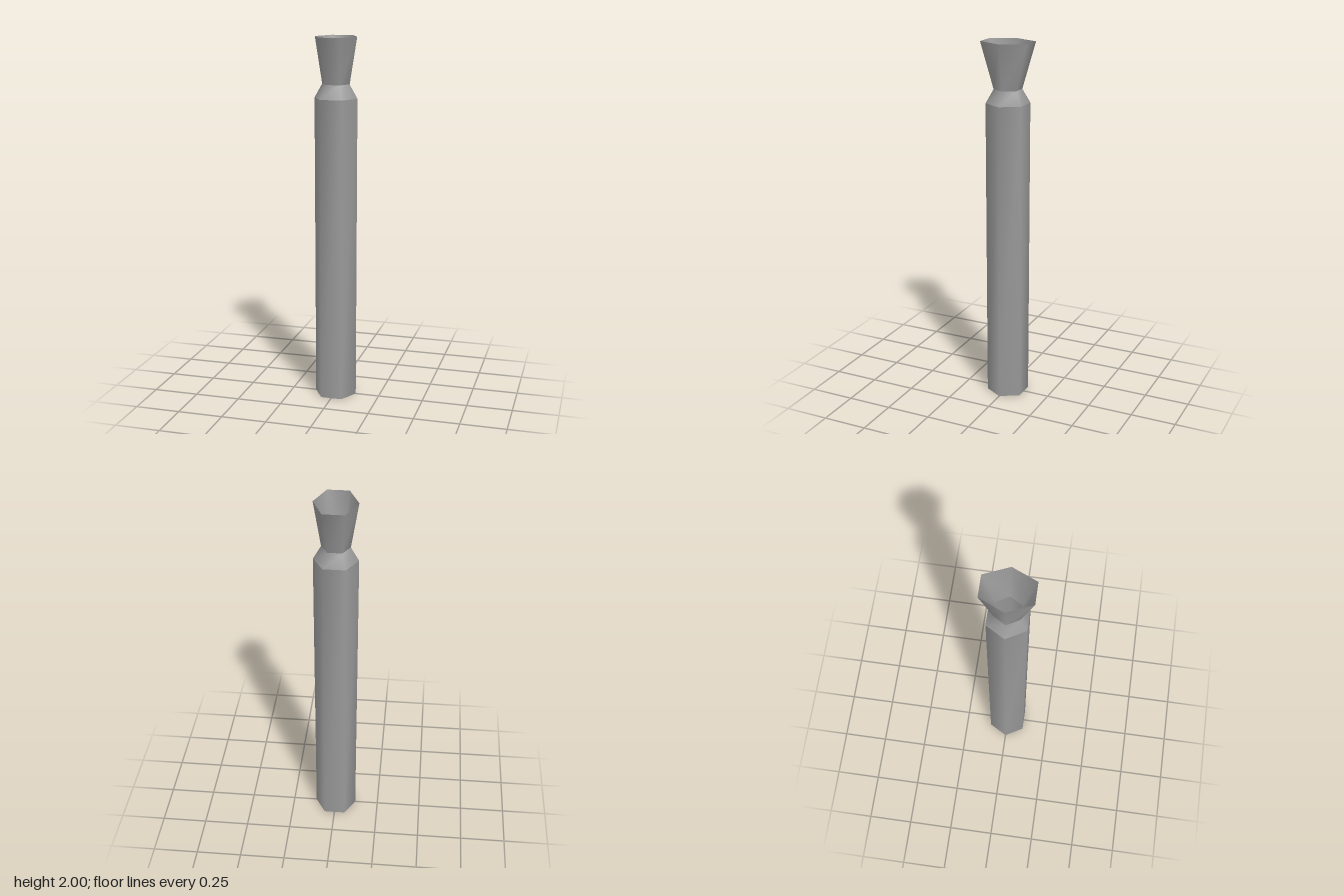
import * as THREE from 'three';

const SIDES = 6;

// Open six-sided tube through a list of rings { y, rx, rz }: smooth around, creased at each ring
function hexTube(name, rings, material) {
  const positions = [];
  const indices = [];
  const addRing = ({ y, rx, rz }) => {
    for (let i = 0; i < SIDES; i++) {
      const a = (i / SIDES) * Math.PI * 2;
      positions.push(Math.cos(a) * rx, y, -Math.sin(a) * rz);
    }
  };
  for (let r = 0; r < rings.length - 1; r++) {
    const start = positions.length / 3;
    addRing(rings[r]);
    addRing(rings[r + 1]);
    for (let i = 0; i < SIDES; i++) {
      const a = start + i;
      const b = start + ((i + 1) % SIDES);
      indices.push(a, b, b + SIDES, a, b + SIDES, a + SIDES);
    }
  }
  const geometry = new THREE.BufferGeometry();
  geometry.setAttribute('position', new THREE.Float32BufferAttribute(positions, 3));
  geometry.setIndex(indices);
  geometry.computeVertexNormals();
  const mesh = new THREE.Mesh(geometry, material);
  mesh.name = name;
  return mesh;
}

export function createModel() {
  const group = new THREE.Group();
  group.name = 'flaredTube';
  const material = new THREE.MeshStandardMaterial({ color: 0x999999, side: THREE.DoubleSide });

  const base = { y: 0, rx: 0.117, rz: 0.117 };
  const shoulder = { y: 1.675, rx: 0.119, rz: 0.119 };
  const neck = { y: 1.75, rx: 0.076, rz: 0.076 };
  const rim = { y: 2, rx: 0.116, rz: 0.154 }; // mouth is stretched front to back

  group.add(
    hexTube('bodyAndShoulder', [base, shoulder, neck], material),
    hexTube('flaredMouth', [neck, rim], material),
  );
  return group;
}
